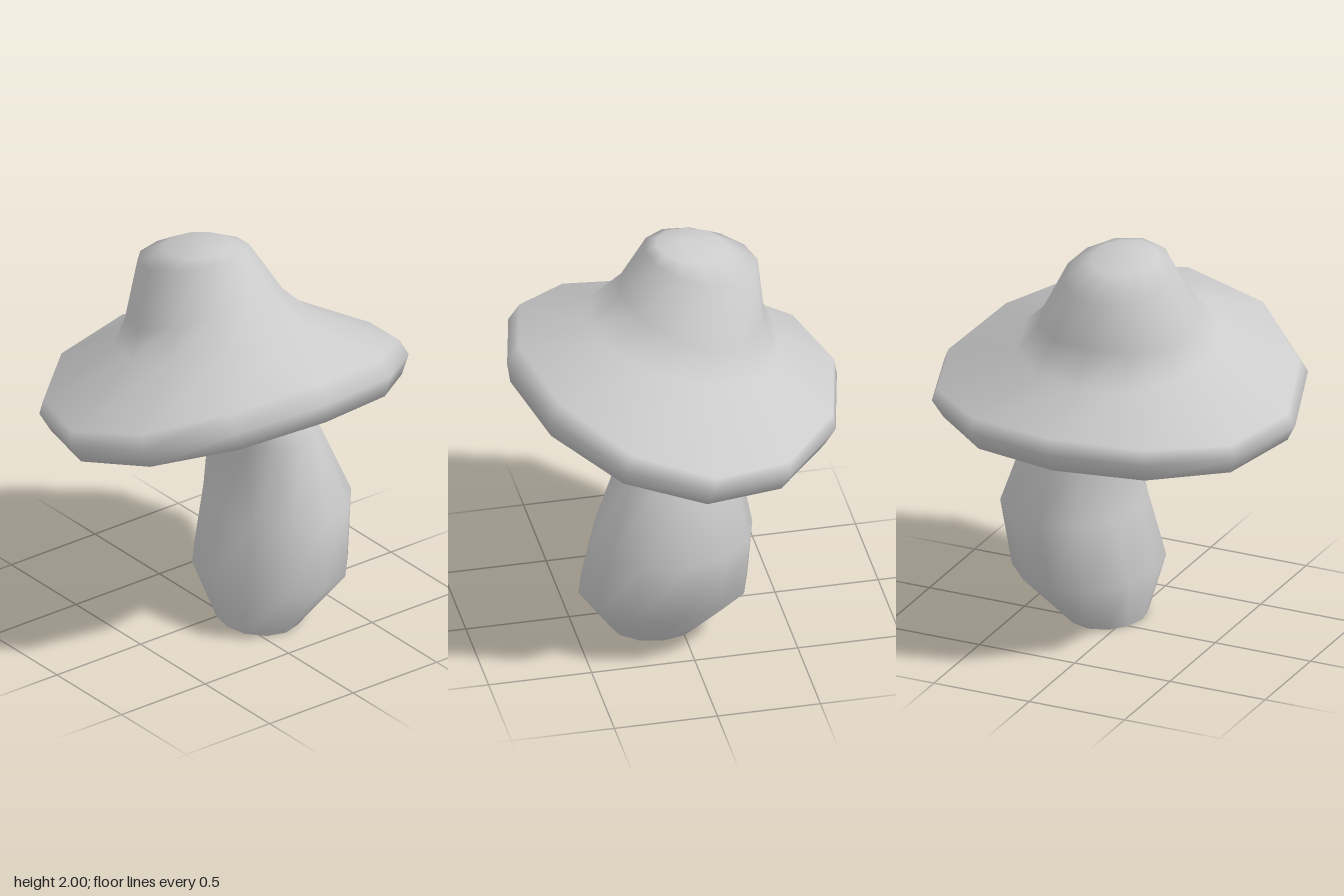
import * as THREE from 'three';

const SIDES = 12;

// A ring is [cx, cz, rx, rz, y, tilt, bend]; with s = -1 at the back and 1 at
// the front, its height is y + tilt * s + bend * s * s.
function loft(name, rings, material) {
  const positions = [];
  const index = [];
  for (const [cx, cz, rx, rz, y, tilt = 0, bend = 0] of rings) {
    for (let j = 0; j < SIDES; j++) {
      const a = (j / SIDES) * Math.PI * 2;
      const s = Math.sin(a);
      positions.push(cx + rx * Math.cos(a), y + tilt * s + bend * s * s, cz + rz * s);
    }
  }
  for (let i = 0; i < rings.length - 1; i++) {
    for (let j = 0; j < SIDES; j++) {
      const k = (j + 1) % SIDES;
      const a = i * SIDES + j, b = i * SIDES + k;
      const c = a + SIDES, d = b + SIDES;
      index.push(a, c, b, b, c, d);
    }
  }
  // Close the upper end with a fan to a central point
  const [cx, cz, , , y, , , apex] = rings[rings.length - 1];
  if (apex) {
    const base = (rings.length - 1) * SIDES;
    const tip = positions.length / 3;
    positions.push(cx, y + apex, cz + 0.05);
    for (let j = 0; j < SIDES; j++) index.push(base + j, tip, base + (j + 1) % SIDES);
  }
  const geometry = new THREE.BufferGeometry();
  geometry.setAttribute('position', new THREE.Float32BufferAttribute(positions, 3));
  geometry.setIndex(index);
  geometry.computeVertexNormals();
  const mesh = new THREE.Mesh(geometry, material);
  mesh.name = name;
  return mesh;
}

export function createModel() {
  const group = new THREE.Group();
  group.name = 'mushroom';
  const material = new THREE.MeshStandardMaterial({ color: 0xcccccc, side: THREE.DoubleSide });

  // Bulging stem that leans towards the cap
  group.add(loft('stem', [
    [0.115, 0.11, 0.185, 0.22, 0.005],
    [0.205, 0.09, 0.355, 0.41, 0.27],
    [0.27, 0.06, 0.34, 0.39, 0.6],
    [0.22, 0.022, 0.25, 0.288, 0.96],
    [0.08, 0.025, 0.21, 0.255, 1.23],
    [0.02, 0.0, 0.19, 0.22, 1.38],
  ], material));

  // Flat underside of the stem
  const foot = new THREE.Mesh(new THREE.CircleGeometry(1, SIDES), material);
  foot.name = 'stemBase';
  foot.rotation.x = Math.PI / 2;
  foot.scale.set(0.185, 0.22, 1);
  foot.position.set(0.115, 0.005, 0.11);
  group.add(foot);

  // Tilted cap: hollow underside, rounded brim, then the leaning crown
  group.add(loft('cap', [
    [0.04, 0.0, 0.17, 0.2, 1.33, 0.04],
    [0.02, 0.0, 0.38, 0.36, 1.21, 0.08, 0.04],
    [0.0, 0.0, 0.6, 0.55, 1.07, 0.1, 0.09],
    [0.0, 0.02, 0.87, 0.765, 1.12, 0.135, 0.115],
    [0.0, 0.0, 0.92, 0.8, 1.21, 0.135, 0.125],
    [0.0, -0.02, 0.89, 0.765, 1.27, 0.14, 0.15],
    [-0.02, -0.06, 0.485, 0.46, 1.52, 0.105, 0.015],
    [-0.04, -0.105, 0.39, 0.345, 1.63, 0.08, 0.07],
    [-0.065, -0.155, 0.265, 0.275, 1.9, 0.06, 0.01],
    [-0.075, -0.11, 0.16, 0.17, 1.965, 0.02, 0, 0.035],
  ], material));

  return group;
}
